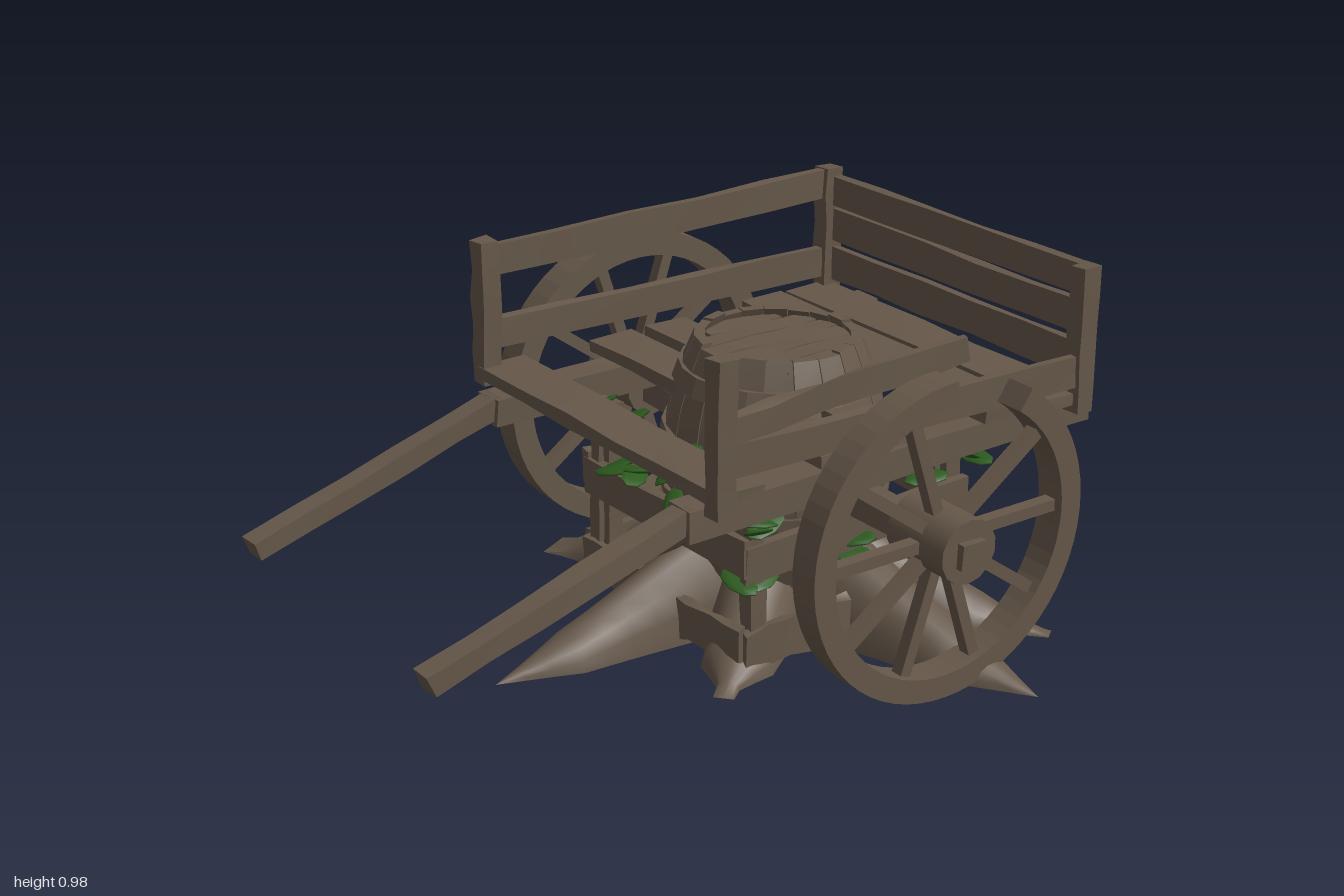
import * as THREE from 'three';
import { toCreasedNormals } from 'three/addons/utils/BufferGeometryUtils.js';

const wood = new THREE.MeshStandardMaterial({ color: 0x66584a });
wood.name = 'weathered wood';
const green = new THREE.MeshStandardMaterial({ color: 0x2c5a1e });
green.name = 'leaf green';

let seed = 7;
const rand = () => (seed = (seed * 16807) % 2147483647) / 2147483647;
const UP = new THREE.Vector3(0, 1, 0);

function add(parent, name, geo, mat = wood) {
  const m = new THREE.Mesh(geo, mat);
  m.name = name;
  parent.add(m);
  return m;
}

// Rough-hewn beam from a to b: w is the sideways size, h the upright size
function plank(parent, name, a, b, w, h, rough = 0.004) {
  const A = new THREE.Vector3(...a), B = new THREE.Vector3(...b);
  const geo = new THREE.BoxGeometry(w, h, A.distanceTo(B), 1, 1, 5);
  const p = geo.attributes.position, k = rand() * 50;
  const hash = (x, y, z, s) => {
    const n = Math.sin(x * 127.1 + y * 311.7 + z * 74.7 + s + k) * 43758.5;
    return (n - Math.floor(n) - 0.5) * 2 * rough;
  };
  for (let i = 0; i < p.count; i++) {
    const x = p.getX(i), y = p.getY(i), z = p.getZ(i);
    p.setXYZ(i, x + hash(x, y, z, 1) * 0.5, y + hash(x, y, z, 2), z + hash(x, y, z, 3));
  }
  geo.computeVertexNormals();
  const m = add(parent, name, geo);
  m.position.copy(A).lerp(B, 0.5);
  m.quaternion.setFromRotationMatrix(new THREE.Matrix4().lookAt(B, A, UP));
}

function group(parent, name) {
  const g = new THREE.Group();
  g.name = name;
  parent.add(g);
  return g;
}

// Spoked wheel; the broken one misses a piece of rim and a spoke
function wheel(parent, name, x, broken) {
  const g = group(parent, name);
  g.position.set(x, 0.428, -0.335);
  g.rotation.y = Math.PI / 2;
  const a0 = Math.PI / 2, a1 = a0 + Math.PI * (broken ? 1.81 : 2);
  const s = new THREE.Shape();
  s.absarc(0, 0, 0.426, a0, a1, false);
  s.absarc(0, 0, 0.362, a1, a0, true);
  const rim = new THREE.ExtrudeGeometry(s, { depth: 0.085, bevelEnabled: false, curveSegments: 28 });
  add(g, 'rim', rim.translate(0, 0, -0.0425));
  for (let i = 0; i < 10; i++) {
    if (broken && i === 2) continue;
    const t = (i * Math.PI) / 5;
    const sp = add(g, 'spoke', new THREE.BoxGeometry(0.33, 0.032, 0.035));
    sp.position.set(Math.cos(t) * 0.22, Math.sin(t) * 0.22, 0);
    sp.rotation.z = t;
  }
  add(g, 'hub', new THREE.CylinderGeometry(0.086, 0.086, 0.21, 14)).rotation.x = Math.PI / 2;
}

function cart(root) {
  const g = group(root, 'cart');
  for (const x of [-0.46, 0.41]) {
    plank(g, 'frameRail', [x, 0.545, 0.285], [x, 0.56, -1], 0.09, 0.08);
    plank(g, 'shaft', [x, 0.56, 0.26], [x, 0.33, 0.99], 0.062, 0.055);
  }
  // Floor boards: z centre, depth, left end, right end
  for (const [z, d, l, r] of [[-0.85, 0.15, -0.55, 0.52], [-0.685, 0.14, -0.54, 0.48],
    [-0.345, 0.13, -0.54, 0.46], [-0.165, 0.14, -0.54, 0.47], [0.185, 0.14, -0.54, 0.52]])
    plank(g, 'floorBoard', [l, 0.62, z + 0.01], [r, 0.625, z], d, 0.035);
  for (const x of [-0.54, 0.508]) for (const z of [-0.905, 0.235])
    plank(g, 'cornerPost', [x, 0.585, z], [x, 0.98, z], 0.055, 0.055);
  // Back panel
  for (const [y, h] of [[0.925, 0.085], [0.825, 0.088], [0.71, 0.095]])
    plank(g, 'backBoard', [-0.54, y - 0.008, -0.915], [0.51, y + 0.012, -0.915], 0.025, h);
  // Side rails, the upper one on the left snapped short
  plank(g, 'sideRail', [-0.54, 0.925, 0.24], [-0.54, 0.935, -0.91], 0.025, 0.085);
  plank(g, 'sideRail', [-0.54, 0.72, 0.24], [-0.54, 0.705, -0.91], 0.025, 0.085);
  plank(g, 'sideRail', [0.51, 0.72, 0.24], [0.51, 0.7, -0.91], 0.025, 0.085);
  plank(g, 'brokenSideRail', [0.51, 0.8, 0.24], [0.51, 0.845, -0.51], 0.025, 0.07, 0.008);
  // Wheels and square axle stubs
  wheel(g, 'rightWheel', -0.698, false);
  wheel(g, 'leftWheel', 0.645, true);
  for (const [inner, outer] of [[-0.36, -0.83], [0.3, 0.77]])
    plank(g, 'axle', [inner, 0.42, -0.335], [outer, 0.425, -0.335], 0.075, 0.07);
}

function barrel(root) {
  const g = group(root, 'barrel');
  g.position.set(-0.025, 0, -0.335);
  const radius = (y) => 0.298 - 0.7 * (y - 0.42) ** 2;
  const n = 20;
  // Bowed staves
  for (let i = 0; i < n; i++) {
    const h = 0.67 + rand() * 0.015;
    const geo = new THREE.BoxGeometry(1, h, 0.028, 1, 8, 1).translate(0, 0.08 + h / 2, 0);
    const p = geo.attributes.position;
    for (let j = 0; j < p.count; j++) {
      const r = radius(p.getY(j)) + p.getZ(j) - 0.014;
      p.setX(j, p.getX(j) * r * 2 * Math.tan(Math.PI / n) * 0.965);
      p.setZ(j, r);
    }
    geo.computeVertexNormals();
    add(g, 'stave', geo).rotation.y = (i / n) * Math.PI * 2;
  }
  // Hoops
  for (const [y, h] of [[0.665, 0.05], [0.5, 0.04], [0.34, 0.04], [0.18, 0.05]]) {
    const a = radius(y - h / 2), b = radius(y + h / 2);
    const pts = [[a - 0.02, y - h / 2], [a + 0.012, y - h / 2], [b + 0.012, y + h / 2], [b - 0.02, y + h / 2]];
    const geo = new THREE.LatheGeometry(pts.map((q) => new THREE.Vector2(...q)), n);
    add(g, 'hoop', toCreasedNormals(geo, 0.2));
  }
  // Lid of parallel boards
  for (let i = 0; i < 6; i++) {
    const x = -0.167 + i * 0.067;
    const len = 2 * Math.sqrt(0.205 ** 2 - x * x);
    plank(g, 'lidBoard', [x, 0.725, -len / 2], [x, 0.725, len / 2], 0.063, 0.025, 0.003);
  }
  add(g, 'lidBase', new THREE.CylinderGeometry(0.205, 0.205, 0.02, n)).position.y = 0.705;
}

function crate(root) {
  const g = group(root, 'brokenCrate');
  g.position.set(-0.035, 0, -0.335);
  for (let i = 0; i < 4; i++) {
    const s = group(g, 'crateSide');
    s.rotation.y = (i * Math.PI) / 2;
    const z = 0.345;
    plank(s, 'cratePost', [-0.3, 0.01, z - 0.025], [-0.29, 0.54, z - 0.025], 0.045, 0.045);
    plank(s, 'cratePost', [0.34, 0.01, z - 0.025], [0.335, 0.54, z - 0.025], 0.04, 0.045);
    plank(s, 'crateUpperBoard', [-0.36, 0.32, z + 0.01], [0.365, 0.34, z + 0.01], 0.025, 0.1);
    plank(s, 'crateLowerBoard', [-0.355, 0.08, z + 0.01], [-0.03, 0.095, z + 0.02], 0.025, 0.11, 0.01);
    plank(s, 'crateLowerBoard', [0.08, 0.075, z + 0.02], [0.36, 0.1, z + 0.02], 0.025, 0.11, 0.01);
    if (i === 0) plank(s, 'crateBrace', [-0.29, 0.05, z + 0.035], [0.29, 0.46, z + 0.035], 0.022, 0.065);
  }
}

// Arched root spike from the centre to a tip; blunt roots keep some width at the end
function rootSpike(parent, tx, tz, width, blunt) {
  const cx = -0.025, cz = -0.335, rows = 12, sides = 8;
  const len = Math.hypot(tx - cx, tz - cz), dx = (tx - cx) / len, dz = (tz - cz) / len;
  const pos = [], idx = [];
  for (let i = 0; i <= rows; i++) {
    const t = i / rows;
    const w = width * Math.max(blunt, Math.min(1, (1 - t) * 4)) * (1 + 0.9 * (1 - t) ** 2);
    const h = 0.39 * (1 - t) ** 1.1;
    for (let j = 0; j <= sides; j++) {
      const a = (j / sides) * Math.PI, u = Math.cos(a) * w;
      pos.push(cx + dx * len * t - dz * u, Math.sin(a) * h, cz + dz * len * t + dx * u);
    }
  }
  const c = sides + 1;
  for (let i = 0; i < rows; i++) {
    const a0 = i * c, b0 = a0 + c;
    for (let j = 0; j < sides; j++) {
      const a = a0 + j, b = b0 + j;
      idx.push(a, b, a + 1, b, b + 1, a + 1);
    }
    idx.push(a0, a0 + sides, b0, b0, a0 + sides, b0 + sides);
  }
  const geo = new THREE.BufferGeometry();
  geo.setAttribute('position', new THREE.Float32BufferAttribute(pos, 3));
  geo.setIndex(idx);
  add(parent, 'root', toCreasedNormals(geo, 0.9));
}

// Leaf clusters: x, y, z centre, spread in x, spread in z, count
function leaves(root) {
  const g = group(root, 'foliage');
  const geo = new THREE.SphereGeometry(1, 8, 5).scale(0.034, 0.008, 0.066);
  for (const [x, y, z, sx, sz, n] of [[0.02, 0.46, 0.03, 0.2, 0.06, 14], [-0.33, 0.48, -0.05, 0.07, 0.06, 6],
    [-0.31, 0.47, -0.56, 0.08, 0.12, 11], [0.28, 0.46, -0.53, 0.05, 0.1, 7], [0.2, 0.44, -0.72, 0.08, 0.06, 6],
    [-0.3, 0.44, -0.73, 0.09, 0.05, 5], [0.29, 0.46, -0.1, 0.06, 0.1, 4], [0.3, 0.28, 0, 0.06, 0.06, 3],
    [0, 0.42, -0.74, 0.15, 0.04, 4], [0.34, 0.28, -0.4, 0.03, 0.15, 3]]) {
    for (let i = 0; i < n; i++) {
      const leaf = add(g, 'leaf', geo, green);
      const u = rand() * 2 - 1, v = rand() * 2 - 1;
      leaf.position.set(x + u * sx, y + (rand() - 0.5) * 0.1, z + v * sz);
      const out = Math.atan2(leaf.position.x + 0.025, leaf.position.z + 0.335);
      leaf.rotation.set((rand() - 0.4) * 0.9, out + (rand() - 0.5) * 2, (rand() - 0.5) * 0.9, 'YXZ');
    }
  }
}

export function createModel() {
  const model = new THREE.Group();
  model.name = 'brokenCartWithBarrel';
  cart(model);
  barrel(model);
  crate(model);
  // Star of roots around a low mound: tip x, tip z, half width, bluntness
  const roots = group(model, 'roots');
  add(roots, 'mound', new THREE.CylinderGeometry(0.25, 0.31, 0.12, 14)).position.set(-0.025, 0.06, -0.335);
  for (const r of [[-0.79, -0.88, 0.085, 0.65], [0.12, -0.98, 0.08, 0], [0.58, -0.79, 0.085, 0.25],
    [0.82, -0.53, 0.09, 0], [-0.02, 0.55, 0.075, 0], [-0.64, -0.02, 0.09, 0.6], [0.37, 0.12, 0.09, 0.3]])
    rootSpike(roots, ...r);
  leaves(model);
  return model;
}
